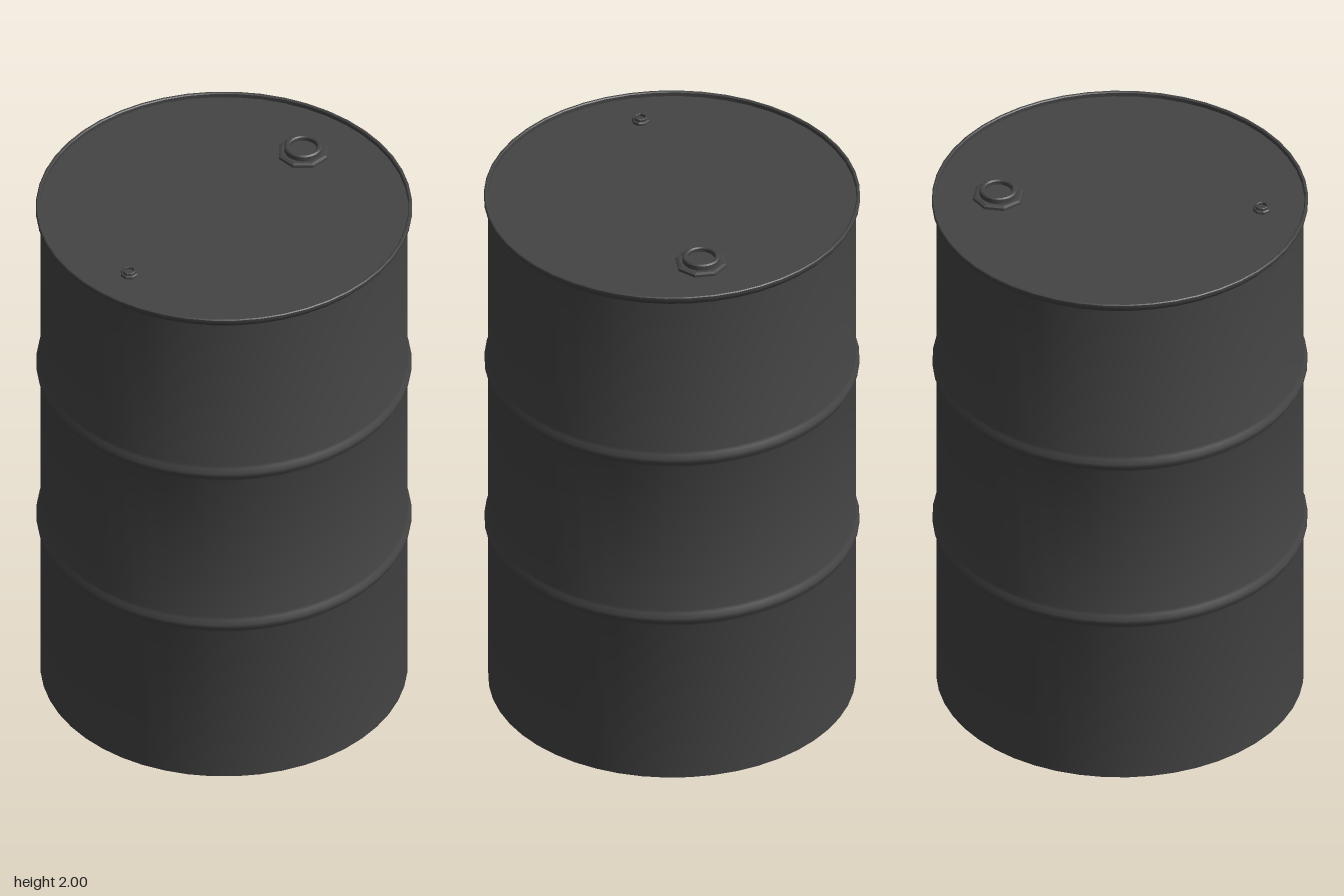
import * as THREE from 'three';
import { toCreasedNormals } from 'three/addons/utils/BufferGeometryUtils.js';

const paint = new THREE.MeshStandardMaterial({ color: 0x444444 });

// Revolve a list of [radius, height] pairs, keeping sharp edges sharp
function turned(name, profile, sides, crease = 0.65, start = 0) {
  const points = profile.map(([r, y]) => new THREE.Vector2(r, y));
  const geometry = new THREE.LatheGeometry(points, sides, start);
  const mesh = new THREE.Mesh(toCreasedNormals(geometry, crease), paint);
  mesh.name = name;
  return mesh;
}

const R = 0.63;       // wall radius
const LID = 1.965;    // height of the sunken lid

// Rolled hoop bulging out of the wall
const hoop = (y) => [
  [R, y - 0.032], [R + 0.004, y - 0.02], [R + 0.013, y - 0.006],
  [R + 0.013, y + 0.006], [R + 0.004, y + 0.02], [R, y + 0.032],
];

// Screw cap: faceted flange, round collar and sunken plug
function cap(name, x, z, s, flangeTop, collarTop) {
  const group = new THREE.Group();
  group.name = name;
  group.position.set(x, LID, z);
  group.add(
    turned('capFlange', [
      [0.09 * s, 0], [0.09 * s, flangeTop * 0.7], [0.08 * s, flangeTop], [0.06 * s, flangeTop],
    ], 8, 0.3, 0.447),
    turned('capCollar', [
      [0.065 * s, 0], [0.065 * s, collarTop - 0.004 * s], [0.06 * s, collarTop],
      [0.051 * s, collarTop], [0.047 * s, collarTop - 0.004 * s],
      [0.047 * s, collarTop * 0.5], [0, collarTop * 0.5],
    ], 24, 0.6),
  );
  return group;
}

export function createModel() {
  const drum = new THREE.Group();
  drum.name = 'drum';

  // Closed bottom and ribbed wall
  drum.add(turned('body', [
    [0, 0], [R, 0], ...hoop(0.655), ...hoop(1.308), [R, 1.95],
  ], 48));

  // Flared top rim
  drum.add(turned('rim', [
    [R, 1.948], [0.638, 1.957], [0.645, 1.968], [0.645, 1.979],
    [0.642, 1.982], [0.636, 1.982], [0.633, 1.979], [0.633, LID],
  ], 48));

  // Sunken lid
  drum.add(turned('lid', [[0.634, LID], [0, LID]], 48));

  // Large filler cap and small vent cap
  drum.add(cap('fillerCap', 0.25, -0.335, 1, 0.014, 0.035));
  drum.add(cap('ventCap', -0.3, 0.385, 0.34, 0.011, 0.02));

  return drum;
}
